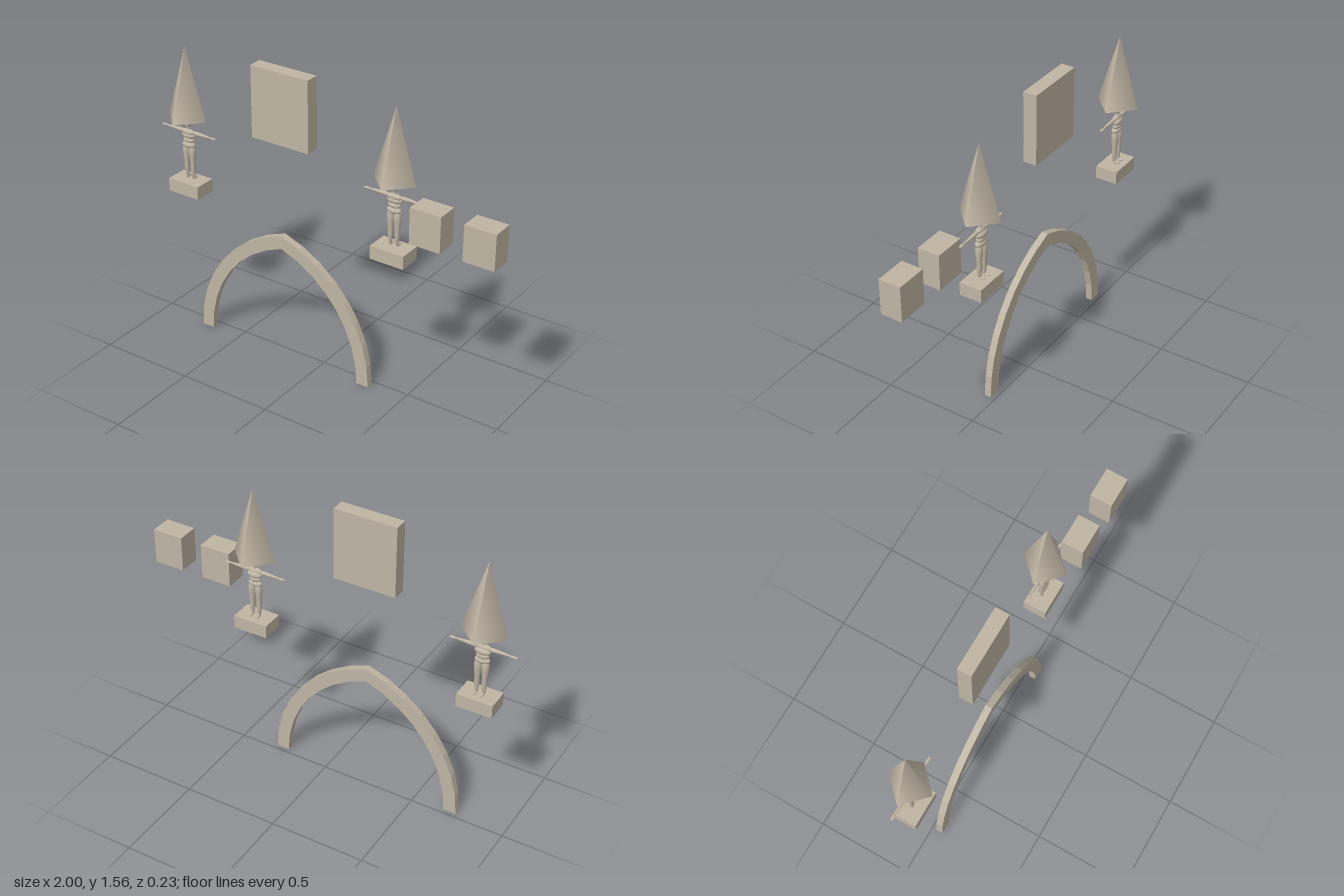
import * as THREE from 'three';

const stone = new THREE.MeshStandardMaterial({ color: 0xbfb5a4 });
stone.name = 'stone';

function add(parent, name, geometry, x = 0, y = 0, z = 0) {
  const mesh = new THREE.Mesh(geometry, stone);
  mesh.name = name;
  mesh.position.set(x, y, z);
  parent.add(mesh);
  return mesh;
}

// Box given by its limits on each axis
function block(parent, name, [x0, x1], [y0, y1], [z0, z1]) {
  return add(parent, name, new THREE.BoxGeometry(x1 - x0, y1 - y0, z1 - z0),
    (x0 + x1) / 2, (y0 + y1) / 2, (z0 + z1) / 2);
}

function ellipsoid(parent, name, rx, ry, rz, x, y, z) {
  return add(parent, name, new THREE.SphereGeometry(1, 16, 12).scale(rx, ry, rz), x, y, z);
}

// Turned limb from [radius, height] pairs, listed bottom to top
function turned(points) {
  return new THREE.LatheGeometry(points.map(([r, y]) => new THREE.Vector2(r, y)), 12);
}

// Pointed arch made of two circular arcs meeting at the apex
function pointedArch() {
  const outer = 0.718, inner = 0.65, offset = 0.198, steps = 8;
  const arc = (radius) => {
    const end = Math.acos(offset / radius);
    return Array.from({ length: steps + 1 }, (_, i) => {
      const a = (end * i) / steps;
      return new THREE.Vector2(radius * Math.cos(a) - offset, radius * Math.sin(a));
    });
  };
  const span = (radius) => {
    const right = arc(radius);
    const left = right.slice(0, -1).reverse().map((p) => new THREE.Vector2(-p.x, p.y));
    return [...right, ...left];
  };
  const shape = new THREE.Shape([...span(outer), ...span(inner).reverse()]);
  return new THREE.ExtrudeGeometry(shape, { depth: 0.036, bevelEnabled: false });
}

// Small standing figure with spread arms, facing -z
function makeFigure() {
  const figure = new THREE.Group();
  figure.name = 'figure';
  ellipsoid(figure, 'head', 0.014, 0.019, 0.017, 0, 1.113, 0);
  add(figure, 'neck', new THREE.CylinderGeometry(0.007, 0.009, 0.035, 10), 0, 1.088, 0);
  ellipsoid(figure, 'shoulders', 0.042, 0.016, 0.016, 0, 1.069, 0.001);
  ellipsoid(figure, 'chest', 0.041, 0.02, 0.022, 0, 1.05, -0.004);
  ellipsoid(figure, 'waist', 0.033, 0.018, 0.019, 0, 1.024, -0.002);
  ellipsoid(figure, 'hips', 0.039, 0.019, 0.021, 0, 0.998, 0);

  const leg = turned([[0.007, 0.812], [0.009, 0.83], [0.014, 0.87], [0.013, 0.9],
    [0.018, 0.945], [0.019, 0.975], [0.012, 0.995]]);
  const arm = turned([[0.004, 0], [0.007, 0.025], [0.009, 0.06], [0.011, 0.09], [0.008, 0.105]]);
  for (const side of [-1, 1]) {
    add(figure, 'leg', leg, side * 0.019, 0, -0.002);
    ellipsoid(figure, 'foot', 0.008, 0.007, 0.021, side * 0.019, 0.814, -0.014);
    const limb = add(figure, 'arm', arm, side * 0.137, 1.069, -0.002);
    limb.rotation.z = side * Math.PI / 2;
    ellipsoid(figure, 'hand', 0.02, 0.005, 0.008, side * 0.152, 1.069, -0.003);
  }
  return figure;
}

// Plinth, figure and pyramid canopy
function makeStatue(x) {
  const statue = new THREE.Group();
  statue.name = 'statue';
  block(statue, 'plinth', [-0.093, 0.093], [0.735, 0.805], [-0.06, 0.06]);
  statue.add(makeFigure());
  add(statue, 'canopy', new THREE.ConeGeometry(0.116, 0.378, 4), 0, 1.336, 0);
  statue.position.x = x;
  return statue;
}

export function createModel() {
  const model = new THREE.Group();
  model.name = 'archAndStatues';
  add(model, 'pointedArch', pointedArch(), -0.215, 0, 0.024);
  model.add(makeStatue(-0.829), makeStatue(0.396));
  block(model, 'panel', [-0.38, -0.05], [1.183, 1.557], [-0.012, 0.06]);
  for (const x of [0.551, 0.833]) {
    block(model, 'sideBlock', [x, x + 0.164], [0.921, 1.108], [0.002, 0.117]);
  }
  return model;
}
